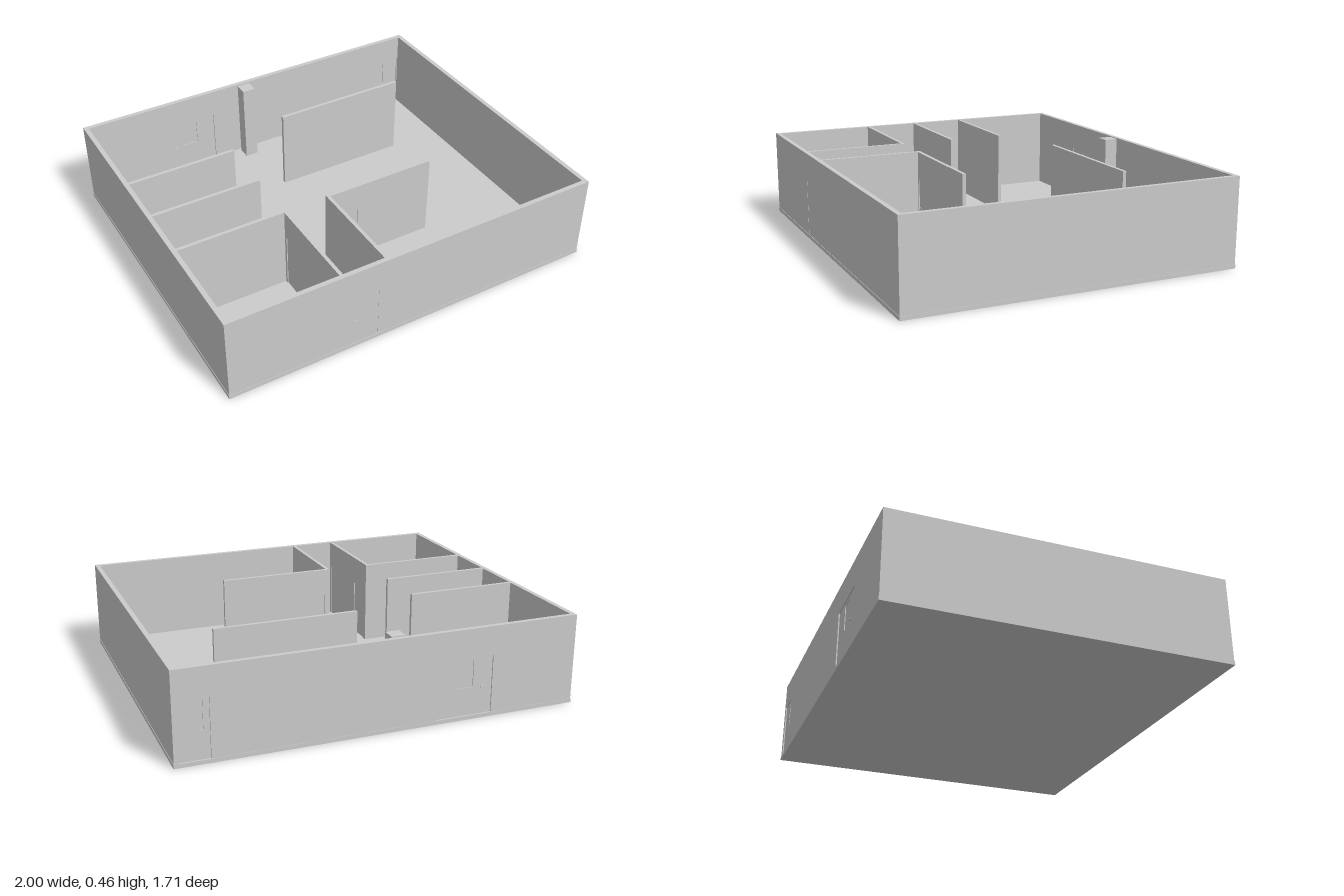
import * as THREE from 'three';

const HEIGHT = 0.455, FLOOR = 0.02, DOOR_TOP = 0.31;
const X = 1, Z = 0.855, OUTER = 0.024, INNER = 0.018;

export function createModel() {
  const model = new THREE.Group();
  const material = new THREE.MeshStandardMaterial({ color: 0xcccccc, flatShading: true });

  const add = (name, geometry, x, y, z) => {
    const mesh = new THREE.Mesh(geometry, material);
    mesh.name = name;
    mesh.position.set(x, y, z);
    model.add(mesh);
    return mesh;
  };
  const box = (name, w, h, d, x, y, z) => add(name, new THREE.BoxGeometry(w, h, d), x, y, z);

  // Upright panel in the plane of a wall; u runs along the wall, "at" is its centre line
  const panel = (name, axis, outline, holes, at, thickness) => {
    const toPoints = (list) => list.map(([u, y]) => new THREE.Vector2(u, y));
    const shape = new THREE.Shape(toPoints(outline));
    for (const hole of holes) shape.holes.push(new THREE.Path(toPoints(hole)));
    const geometry = new THREE.ExtrudeGeometry(shape, { depth: thickness, bevelEnabled: false });
    geometry.translate(0, 0, -thickness / 2);
    if (axis === 'z') geometry.rotateY(-Math.PI / 2);
    add(name, geometry, axis === 'z' ? at : 0, 0, axis === 'x' ? at : 0);
  };
  const rect = (a, b, low, high) => [[a, low], [b, low], [b, high], [a, high]];

  // Wall with doorways cut up from the floor, each closed by a thinner leaf
  const wall = (name, axis, from, to, at, thickness, doors = []) => {
    const outline = [[from, FLOOR]];
    for (const { a, b } of doors) {
      outline.push([a, FLOOR], [a, DOOR_TOP], [b, DOOR_TOP], [b, FLOOR]);
    }
    outline.push([to, FLOOR], [to, HEIGHT], [from, HEIGHT]);
    panel(name, axis, outline, [], at, thickness);
    for (const { a, b, leaf, panes = [] } of doors) {
      panel(name + 'Door', axis, rect(a, b, FLOOR, DOOR_TOP),
        panes.map(([l, r]) => rect(l, r, 0.16, 0.295)), at, leaf);
      for (const [l, r] of panes) panel('doorPane', axis, rect(l, r, 0.16, 0.295), [], at, 0.004);
    }
  };

  // Floor slab, a hair wider than the walls
  box('floor', 2 * X, FLOOR, 2 * Z, 0, FLOOR / 2, 0);

  // Outer walls
  const edge = 0.002, ox = X - edge - OUTER / 2, oz = Z - edge - OUTER / 2;
  wall('frontWall', 'x', -X + edge, X - edge, oz, OUTER, [{ a: -0.37, b: -0.22, leaf: OUTER - 0.002 }]);
  wall('backWall', 'x', -X + edge, X - edge, -oz, OUTER, [
    { a: -0.55, b: -0.26, leaf: 0.012, panes: [[-0.45, -0.365]] },
    { a: 0.83, b: 0.97, leaf: 0.012, panes: [[0.86, 0.875]] },
  ]);
  for (const side of [-1, 1]) {
    wall(side < 0 ? 'rightWall' : 'leftWall', 'z', -oz + OUTER / 2, oz - OUTER / 2, side * ox, OUTER);
  }

  // Partitions running across the house
  const inside = -X + OUTER;
  wall('backRoomWall', 'x', inside, -0.4, -0.272, INNER);
  wall('middleRoomWall', 'x', inside, -0.4, 0.018, INNER);
  wall('frontRoomWall', 'x', inside, -0.4, 0.305, INNER);
  wall('largeRoomWall', 'x', -0.182, 0.418, 0.305, INNER, [{ a: -0.155, b: -0.005, leaf: 0.01 }]);
  wall('freestandingWall', 'x', -0.037, 0.685, -0.416, INNER);

  // Hallway partitions
  wall('hallRightWall', 'z', 0.314, Z - OUTER, -0.41, INNER, [
    { a: 0.33, b: 0.46, leaf: 0.01 },
    { a: 0.69, b: 0.815, leaf: 0.01 },
  ]);
  wall('hallLeftWall', 'z', 0.314, Z - OUTER, -0.173, INNER);

  // Door handles
  box('frontDoorHandle', 0.02, 0.004, 0.003, -0.345, 0.157, Z - edge);
  box('roomDoorHandle', 0.02, 0.004, INNER, -0.135, 0.157, 0.305);
  box('backDoorHandle', 0.02, 0.004, OUTER, -0.5, 0.157, -oz);

  // Square chimney column
  box('column', 0.07, HEIGHT - FLOOR, 0.07, -0.072, (HEIGHT + FLOOR) / 2, -0.78);

  return model;
}
